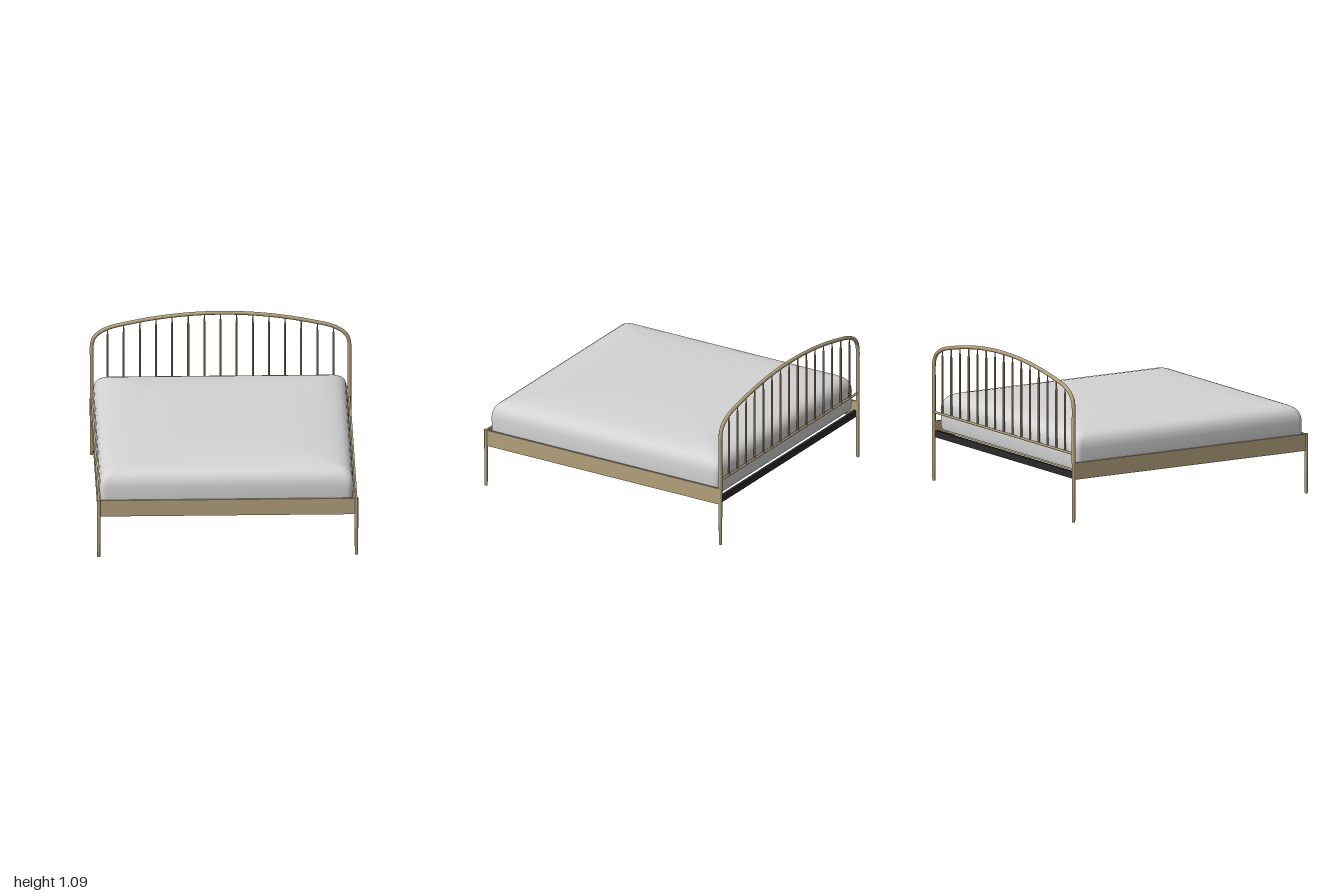
import * as THREE from 'three';
import { toCreasedNormals } from 'three/addons/utils/BufferGeometryUtils.js';

const wood = new THREE.MeshStandardMaterial({ color: 0xb3a07c });
wood.name = 'tan frame';
const linen = new THREE.MeshStandardMaterial({ color: 0xd4d4d4 });
linen.name = 'pale grey linen';
const black = new THREE.MeshStandardMaterial({ color: 0x2b2b2b });
black.name = 'black';

const POST_X = 0.918, END_Z = 0.986;

function add(parent, name, geometry, material, x = 0, y = 0, z = 0) {
  const mesh = new THREE.Mesh(geometry, material);
  mesh.name = name;
  mesh.position.set(x, y, z);
  parent.add(mesh);
  return mesh;
}

const box = (w, h, d) => new THREE.BoxGeometry(w, h, d);
const lathe = (pts, n = 16) =>
  toCreasedNormals(new THREE.LatheGeometry(pts.map(p => new THREE.Vector2(...p)), n), 0.7);

// Height of the headboard's shallow arch at a given x
const archY = x => 1.077 - 0.166 * x * x;

// Soft mattress: rounded-rectangle rings stacked along a domed profile
function mattressGeometry() {
  const halfW = 0.905, halfD = 0.969, arc = 6;
  const profile = [ // inset, height
    [0.9, 0.368], [0.03, 0.368], [0.008, 0.375], [0.002, 0.4], [0.002, 0.46], [0, 0.52],
    [0.004, 0.555], [0.014, 0.585], [0.032, 0.61], [0.06, 0.628], [0.1, 0.641],
    [0.17, 0.652], [0.28, 0.661], [0.45, 0.667], [0.65, 0.67], [0.9, 0.672],
  ];
  const pos = [], idx = [], n = 4 * (arc + 1);
  for (const [inset, y] of profile) {
    const w = halfW - inset, d = halfD - inset, r = Math.min(0.05, w * 0.9);
    for (let q = 0; q < 4; q++) {
      const sx = q === 0 || q === 3 ? 1 : -1, sz = q < 2 ? 1 : -1;
      for (let k = 0; k <= arc; k++) {
        const a = (q + k / arc) * Math.PI / 2;
        pos.push(sx * (w - r) + r * Math.cos(a), y, sz * (d - r) + r * Math.sin(a));
      }
    }
  }
  const rows = profile.length;
  for (let i = 0; i < rows - 1; i++) {
    for (let j = 0; j < n; j++) {
      const a = i * n + j, b = i * n + (j + 1) % n;
      idx.push(a, a + n, b, b, a + n, b + n);
    }
  }
  // close the small remaining holes below and above
  const top = (rows - 1) * n;
  for (let j = 1; j < n - 1; j++) {
    idx.push(0, j, j + 1, top, top + j + 1, top + j);
  }
  const g = new THREE.BufferGeometry();
  g.setAttribute('position', new THREE.Float32BufferAttribute(pos, 3));
  g.setIndex(idx);
  return toCreasedNormals(g, 0.75);
}

function buildHeadboard() {
  const g = new THREE.Group();
  g.name = 'headboard';
  // one bent tube: up the post, around the shoulder and over the arch
  const half = [[POST_X, 0.43], [POST_X, 0.6], [POST_X, 0.75], [POST_X, 0.83],
    [0.908, 0.881], [0.88, 0.922], [0.84, 0.95]];
  const pts = half.map(([x, y]) => new THREE.Vector3(-x, y, 0));
  for (let i = -6; i <= 6; i++) pts.push(new THREE.Vector3(i * 0.13, archY(i * 0.13), 0));
  half.slice().reverse().forEach(([x, y]) => pts.push(new THREE.Vector3(x, y, 0)));
  const curve = new THREE.CatmullRomCurve3(pts, false, 'centripetal');
  add(g, 'archTube', new THREE.TubeGeometry(curve, 120, 0.0138, 14), wood);

  // lower crossbar
  const bar = new THREE.CylinderGeometry(0.009, 0.009, POST_X * 2, 12).rotateZ(Math.PI / 2);
  add(g, 'lowerBar', bar, wood, 0, 0.497, 0);

  // spindles, narrowed at the top
  for (let i = -7; i <= 7; i++) {
    const x = i * 0.115, h = archY(x) - 0.5;
    add(g, 'spindle', lathe([[0.0075, 0], [0.0075, h - 0.07], [0.004, h - 0.03], [0.004, h]], 10),
      wood, x, 0.5, 0);
  }
  g.position.z = -END_Z;
  return g;
}

function buildFrame() {
  const g = new THREE.Group();
  g.name = 'frame';
  const leg = lathe([[0, 0], [0.0105, 0], [0.0115, 0.01], [0.0138, 0.3], [0.0138, 0.433], [0, 0.433]]);
  for (const s of [-1, 1]) {
    add(g, 'frontLeg', leg, wood, s * POST_X, 0, END_Z);
    add(g, 'backLeg', leg, wood, s * POST_X, 0, -END_Z);
    add(g, 'sideRail', box(0.014, 0.121, END_Z * 2 - 0.02), wood, s * POST_X, 0.3705, 0);
    add(g, 'slatLedge', box(0.02, 0.012, END_Z * 2 - 0.04), wood, s * 0.901, 0.33, 0);
  }
  add(g, 'frontRail', box(POST_X * 2 - 0.02, 0.121, 0.014), wood, 0, 0.3705, END_Z);
  add(g, 'backBar', box(POST_X * 2 - 0.02, 0.05, 0.02), black, 0, 0.337, -0.968);
  return g;
}

function buildSlats() {
  const g = new THREE.Group();
  g.name = 'slatBase';
  for (let i = 0; i < 13; i++) {
    add(g, 'slat', box(1.816, 0.016, 0.075), wood, 0, 0.344, 0.9 - i * 0.145);
  }
  // straps lying across the slats
  for (const s of [-1, 1]) {
    add(g, 'strap', box(0.04, 0.006, 1.76), black, s * 0.42, 0.356, 0.03);
  }
  return g;
}

export function createModel() {
  const model = new THREE.Group();
  model.name = 'bed';
  model.add(buildFrame(), buildHeadboard(), buildSlats());
  add(model, 'mattress', mattressGeometry(), linen, -0.006, 0, 0.006);
  return model;
}
